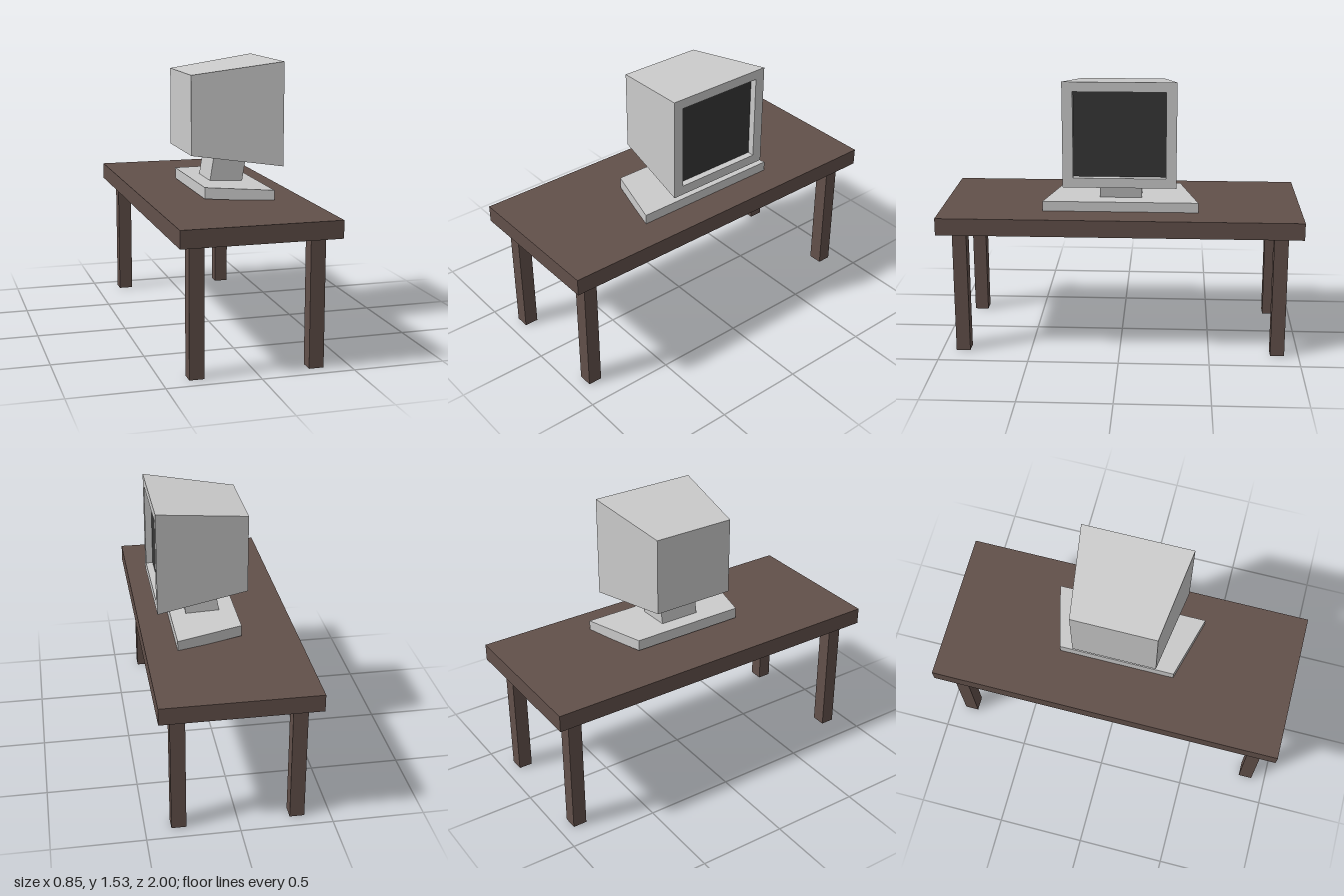
import * as THREE from 'three';

const grey = new THREE.MeshStandardMaterial({ color: 0xcccccc, flatShading: true });
const wood = new THREE.MeshStandardMaterial({ color: 0x62504a, flatShading: true });
const glass = new THREE.MeshStandardMaterial({ color: 0x363636, flatShading: true });

// Skin over upright rectangles [x, bottom, top, halfDepth], listed from back (-x) to front (+x)
function loft(sections) {
  const rings = sections.map(([x, y0, y1, z]) => [[x, y0, z], [x, y0, -z], [x, y1, -z], [x, y1, z]]);
  const pos = [];
  const quad = (a, b, c, d) => pos.push(...a, ...b, ...c, ...a, ...c, ...d);
  for (let s = 0; s < rings.length - 1; s++) {
    for (let i = 0; i < 4; i++) {
      const j = (i + 1) % 4;
      quad(rings[s][i], rings[s][j], rings[s + 1][j], rings[s + 1][i]);
    }
  }
  quad(...[...rings[0]].reverse());
  quad(...rings[rings.length - 1]);
  const geo = new THREE.BufferGeometry();
  geo.setAttribute('position', new THREE.Float32BufferAttribute(pos, 3));
  geo.computeVertexNormals();
  return geo;
}

function add(parent, name, geo, mat, x = 0, y = 0, z = 0) {
  const mesh = new THREE.Mesh(geo, mat);
  mesh.name = name;
  mesh.position.set(x, y, z);
  parent.add(mesh);
  return mesh;
}

export function createModel() {
  const model = new THREE.Group();
  model.name = 'deskWithMonitor';

  // Table
  const table = new THREE.Group();
  table.name = 'table';
  add(table, 'tableTop', new THREE.BoxGeometry(0.85, 0.095, 2), wood, 0, 0.7475, 0);
  const legGeo = new THREE.BoxGeometry(0.08, 0.7, 0.078);
  for (const sx of [-1, 1]) {
    for (const sz of [-1, 1]) add(table, 'tableLeg', legGeo, wood, sx * 0.32, 0.35, sz * 0.882);
  }

  // Monitor, facing +x
  const monitor = new THREE.Group();
  monitor.name = 'monitor';
  add(monitor, 'monitorBase', loft([[-0.115, 0.802, 0.865, 0.33], [0.25, 0.79, 0.85, 0.43]]), grey);
  const neck = add(monitor, 'monitorNeck', new THREE.BoxGeometry(0.187, 0.2, 0.232), grey, 0.08, 0.925, 0);
  neck.rotation.z = -0.165;

  // Tapered housing, folding in at the front to form the bezel and recess
  add(monitor, 'monitorHousing', loft([
    [-0.165, 1.026, 1.466, 0.236],
    [0.342, 0.957, 1.535, 0.307],
    [0.342, 1.01, 1.482, 0.25],
    [0.302, 1.01, 1.482, 0.25],
  ]), grey);
  const screen = add(monitor, 'screen', new THREE.PlaneGeometry(0.5, 0.472), glass, 0.304, 1.246, 0);
  screen.rotation.y = Math.PI / 2;

  model.add(table, monitor);
  return model;
}
